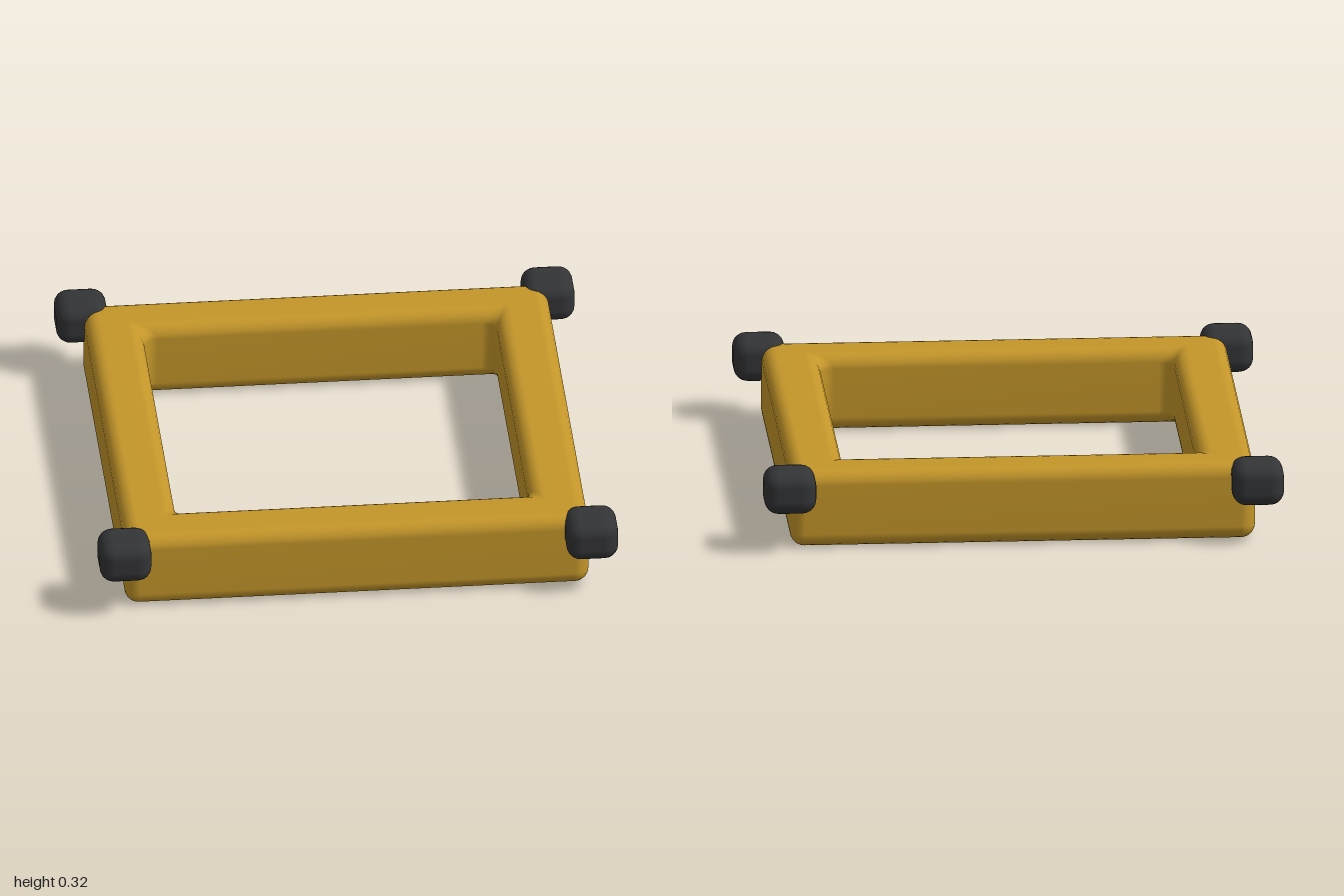
import * as THREE from 'three';
import { mergeVertices } from 'three/addons/utils/BufferGeometryUtils.js';
import { RoundedBoxGeometry } from 'three/addons/geometries/RoundedBoxGeometry.js';

const OUTER = 0.895, INNER = 0.68, HEIGHT = 0.305, BEVEL = 0.055, STEPS = 5;

// One horizontal ring: a square of half-size h with corner radius r at height y.
function squareRing(h, r, y) {
  const points = [];
  for (let corner = 0; corner < 4; corner++) {
    const mid = (corner + 0.5) * Math.PI / 2;
    const cx = Math.sign(Math.cos(mid)) * (h - r), cz = Math.sign(Math.sin(mid)) * (h - r);
    for (let i = 0; i <= STEPS; i++) {
      const t = (corner + i / STEPS) * Math.PI / 2;
      points.push(cx + r * Math.cos(t), y, cz + r * Math.sin(t));
    }
  }
  return points;
}

// Square frame: rings follow the rounded section up the outside and down the inside.
function frameGeometry() {
  const rings = [];
  const quarter = (half, side, top) => {
    for (let i = 0; i <= STEPS; i++) {
      const k = i / STEPS * Math.PI / 2;
      const rising = (side > 0) !== top;           // true: from flat face to wall
      const a = rising ? Math.PI / 2 - k : k;      // 0 on the wall, 90 degrees on the flat
      const inset = BEVEL * (1 - Math.cos(a));
      const lift = BEVEL * (1 - Math.sin(a));
      rings.push(squareRing(half - side * inset, BEVEL - inset, top ? HEIGHT - lift : lift));
    }
  };
  quarter(OUTER, 1, false);
  quarter(OUTER, 1, true);
  quarter(INNER, -1, true);
  quarter(INNER, -1, false);

  const n = 4 * (STEPS + 1), index = [];
  for (let j = 0; j < rings.length; j++) {
    const next = (j + 1) % rings.length;
    for (let i = 0; i < n; i++) {
      const i2 = (i + 1) % n;
      const a = j * n + i, b = j * n + i2, c = next * n + i, d = next * n + i2;
      index.push(a, c, b, b, c, d);
    }
  }
  let geometry = new THREE.BufferGeometry();
  geometry.setAttribute('position', new THREE.Float32BufferAttribute(rings.flat(), 3));
  geometry.setIndex(index);
  geometry = mergeVertices(geometry, 1e-5);
  geometry.computeVertexNormals();
  return geometry;
}

export function createModel() {
  const model = new THREE.Group();
  model.name = 'squareFrame';
  const yellow = new THREE.MeshStandardMaterial({ color: 0xc4962a });
  const black = new THREE.MeshStandardMaterial({ color: 0x333436 });

  const frame = new THREE.Mesh(frameGeometry(), yellow);
  frame.name = 'frame';
  model.add(frame);

  // Rounded bumpers around the upper corners
  const bumperGeometry = new RoundedBoxGeometry(0.2, 0.165, 0.2, 3, 0.055);
  for (const [x, xName] of [[1, 'Left'], [-1, 'Right']]) {
    for (const [z, zName] of [[1, 'front'], [-1, 'back']]) {
      const bumper = new THREE.Mesh(bumperGeometry, black);
      bumper.name = `${zName}${xName}Bumper`;
      bumper.position.set(0.9 * x, 0.241, 0.9 * z);
      model.add(bumper);
    }
  }
  return model;
}
